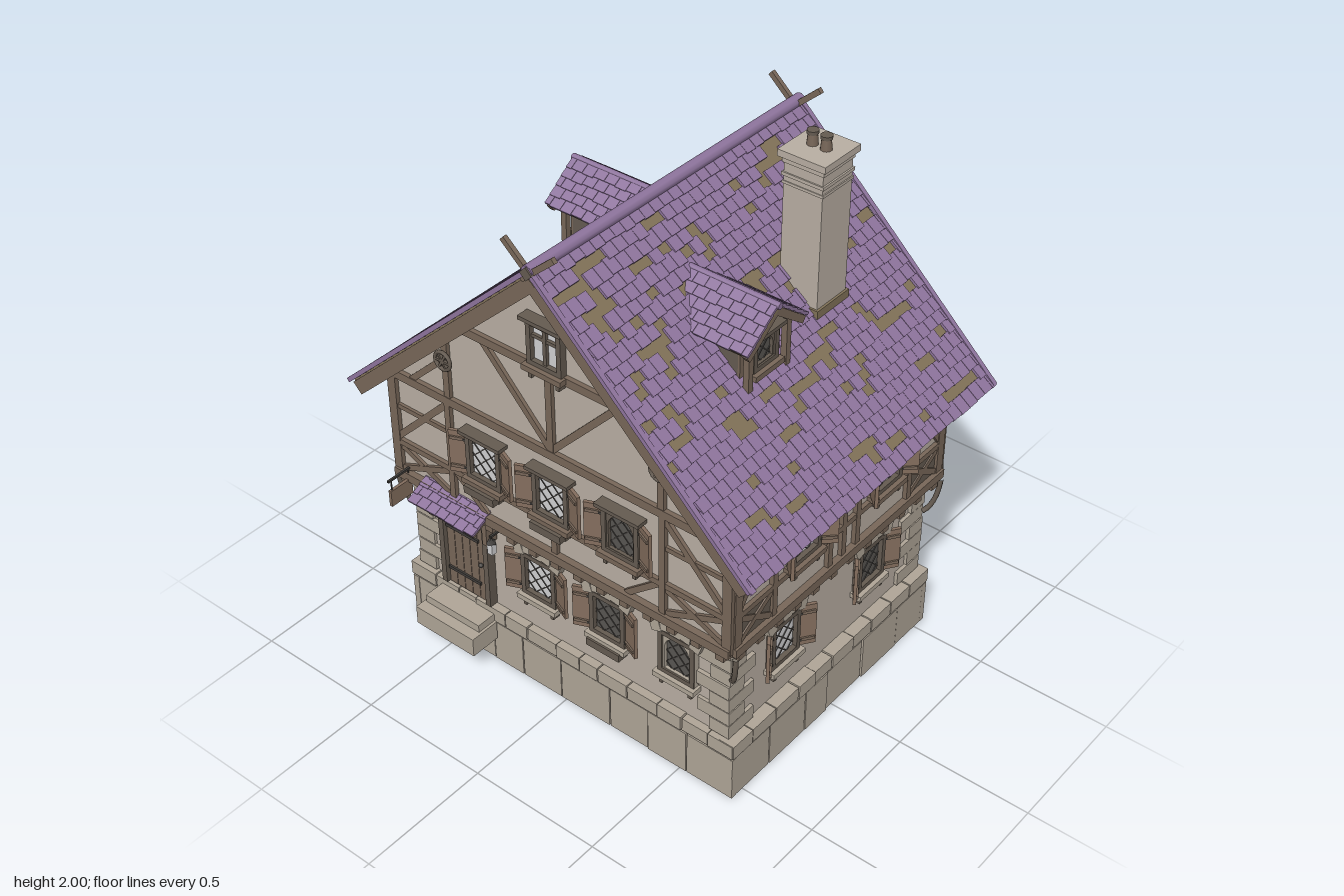
import * as THREE from 'three';
import { mergeGeometries } from 'three/addons/utils/BufferGeometryUtils.js';

const mat = (name, color) => Object.assign(new THREE.MeshStandardMaterial({ color }), { name });
const plaster = mat('plaster', 0xb9afa3), stone = mat('stone', 0xb0a698), timber = mat('timber', 0x786759);
const wood = mat('shutterWood', 0x846e5e), frame = mat('darkFrame', 0x655b51), iron = mat('iron', 0x403d3a);
const paleGlass = mat('paleGlass', 0xd2d2d3), darkGlass = mat('darkGlass', 0x595652);
const tile = mat('purpleTile', 0x8f759e), underlay = mat('roofUnderlay', 0x827359);

let seed = 7;
const rand = () => ((seed = (seed * 16807) % 2147483647) / 2147483647);

function add(parent, name, geo, m, x = 0, y = 0, z = 0) {
  const mesh = new THREE.Mesh(geo, m);
  mesh.name = name;
  mesh.position.set(x, y, z);
  parent.add(mesh);
  return mesh;
}
function box(parent, name, m, w, h, d, x, y, z, rz = 0) {
  const b = add(parent, name, new THREE.BoxGeometry(w, h, d), m, x, y, z);
  b.rotation.z = rz;
  return b;
}
// Straight beam between two points on a wall plane
function beam(p, x1, y1, x2, y2, z, w = 0.03, d = 0.03, m = timber, name = 'beam') {
  return box(p, name, m, Math.hypot(x2 - x1, y2 - y1), w, d, (x1 + x2) / 2, (y1 + y2) / 2, z, Math.atan2(y2 - y1, x2 - x1));
}
function cross(p, x1, y1, x2, y2, z) {
  beam(p, x1, y1, x2, y2, z, 0.022, 0.02);
  beam(p, x1, y2, x2, y1, z, 0.022, 0.018);
}
function group(parent, name, x = 0, y = 0, z = 0, ry = 0) {
  const g = new THREE.Group();
  g.name = name;
  g.position.set(x, y, z);
  g.rotation.y = ry;
  parent.add(g);
  return g;
}

// Window facing +z, centred on its pane; "open" is the angle of the shutters off the wall
function windowUnit(p, x, y, z, { w = 0.15, h = 0.18, pale = true, open = 0, arch = false, lintel = false, casement = false } = {}) {
  const g = group(p, 'window', x, y, z);
  box(g, 'pane', pale ? paleGlass : darkGlass, w - 0.02, h - 0.02, 0.008, 0, 0, 0.004);
  const W = w / 2 - 0.012, H = h / 2 - 0.012;
  if (casement) {
    box(g, 'mullion', frame, 0.014, h, 0.02, 0, 0, 0.01);
    box(g, 'transom', frame, w, 0.012, 0.018, 0, 0.025, 0.01);
  } else for (let c = -0.15; c <= 0.151; c += 0.05) {
    const a = Math.max(-W, -H - c), b = Math.min(W, H - c);
    if (b - a > 0.008) for (const s of [1, -1]) beam(g, s * a, a + c, s * b, b + c, 0.009, 0.004, 0.003, iron, 'leading');
  }
  for (const s of [-1, 1]) {
    box(g, 'frameSide', frame, 0.018, h, 0.026, s * (w / 2 - 0.009), 0, 0.013);
    box(g, 'frameRail', frame, w, 0.018, 0.026, 0, s * (h / 2 - 0.009), 0.013);
  }
  if (arch) {
    const s = new THREE.Shape([[-w / 2, -h / 2], [w / 2, -h / 2], [w / 2, h / 2], [-w / 2, h / 2]].map(q => new THREE.Vector2(...q)));
    const r = w / 2 - 0.025, hole = new THREE.Path();
    hole.moveTo(-r, -h / 2 + 0.02).lineTo(-r, h / 2 - 0.02 - r).absarc(0, h / 2 - 0.02 - r, r, Math.PI, 0, true).lineTo(r, -h / 2 + 0.02);
    s.holes.push(hole);
    add(g, 'archedFrame', new THREE.ExtrudeGeometry(s, { depth: 0.02, bevelEnabled: false }), lintel ? stone : frame);
  }
  if (open) for (const s of [-1, 1]) {
    const leaf = group(g, 'shutterLeaf', s * (w / 2 + 0.001), 0, 0.012, -s * open);
    box(leaf, 'shutter', wood, 0.064, h - 0.01, 0.012, s * 0.032, 0, 0);
    for (const k of [-1, 1]) {
      box(leaf, 'shutterBatten', timber, 0.054, 0.012, 0.008, s * 0.032, k * h * 0.32, 0.008);
      box(leaf, 'hinge', iron, 0.014, 0.008, 0.008, s * 0.005, k * h * 0.32, 0.01);
    }
  }
  if (lintel) {
    for (let i = -2; i <= 2; i++)
      box(g, 'lintelStone', stone, 0.041, i ? 0.045 : 0.06, 0.04, i * 0.041, h / 2 + 0.036 - i * i * 0.006, 0.01, -i * 0.16);
  } else box(g, 'windowHead', frame, w + 0.03, 0.014, 0.045, 0, h / 2 + 0.006, 0.02);
  box(g, 'sill', lintel ? stone : timber, w + 0.02, 0.02, 0.045, 0, -h / 2 - 0.008, 0.02);
  for (const s of [-1, 1]) box(g, 'sillBracket', frame, 0.014, 0.03, 0.03, s * w * 0.4, -h / 2 - 0.032, 0.014);
}

// Overlapping tiles: local x runs down the slope, y is the slope normal
function tiles(parent, name, len, width, rows, cols, missing) {
  const parts = [], gone = {};
  const step = len / rows, cw = width / cols;
  for (let r = 0; r < rows; r++) for (let c = 0; c <= cols; c++) {
    const off = r % 2 ? 0 : 0.5;
    const z0 = Math.max(-width / 2, -width / 2 + (c - off) * cw), z1 = Math.min(width / 2, -width / 2 + (c + 1 - off) * cw);
    if (z1 - z0 < 0.005) continue;
    const chance = gone[`${r - 1},${c}`] || gone[`${r},${c - 1}`] ? missing * 1.9 : missing;
    if (r > 0 && r < rows - 1 && rand() < chance) { gone[`${r},${c}`] = true; continue; }
    const g = new THREE.BoxGeometry(step * 1.25, 0.01, z1 - z0 - 0.0015);
    g.rotateZ(0.1 + rand() * 0.02);
    g.translate((r + 0.45) * step + (rand() - 0.5) * 0.006, 0.011, (z0 + z1) / 2);
    parts.push(g);
  }
  return add(parent, name, mergeGeometries(parts), tile);
}

function buildMasonry(house) {
  const g = group(house, 'stoneGroundFloor');
  box(g, 'groundFloorWall', plaster, 1.35, 0.48, 1.06, 0, 0.43, 0);
  box(g, 'floorUnderside', iron, 1.4, 0.008, 1.08, 0, 0.176, 0);
  // Thin facing blocks around an open base, with a course of cap stones
  for (let k = 0; k < 4; k++) {
    const side = k % 2, half = side ? 0.56 : 0.72, out = side ? 0.72 : 0.56;
    const w = group(g, 'plinthSide', 0, 0, 0, k * Math.PI / 2);
    const course = (name, n, y, h, d, proud) => {
      const cuts = Array.from({ length: n + 1 }, (_, i) => -half + 2 * half * (i + (i > 0 && i < n ? (rand() - 0.5) * 0.4 : 0)) / n);
      for (let i = 0; i < n; i++) {
        const j = rand() * 0.006;
        box(w, name, stone, cuts[i + 1] - cuts[i] - 0.004, h - j, d, (cuts[i] + cuts[i + 1]) / 2, y - j / 2, out - d / 2 + proud - j);
      }
    };
    course('plinthBlock', side ? 6 : 8, 0.0875, 0.175, 0.025, 0);
    course('plinthCapStone', side ? 10 : 13, 0.21, 0.058, 0.06, 0.004);
  }
  // Corner quoins, alternately long on each face
  for (const sx of [-1, 1]) for (const sz of [-1, 1]) for (let i = 0; i < 7; i++) {
    const a = i % 2 ? 0.13 : 0.08, b = i % 2 ? 0.08 : 0.13;
    box(g, 'quoin', stone, a, 0.054, b, sx * (0.692 - a / 2 - rand() * 0.006), 0.268 + i * 0.058, sz * (0.545 - b / 2 - rand() * 0.006));
  }
}

function buildUpperFloor(house) {
  const s = new THREE.Shape([[-0.712, 0.65], [0.712, 0.65], [0.712, 1.085], [0, 1.75], [-0.712, 1.085]].map(q => new THREE.Vector2(...q)));
  add(house, 'upperWall', new THREE.ExtrudeGeometry(s, { depth: 1.144, bevelEnabled: false }), plaster, 0, 0, -0.572);
  for (let k = 0; k < 4; k++) {
    const side = k % 2, back = k === 2, half = side ? 0.575 : 0.72, z = side ? 0.714 : 0.574, low = side ? 0.675 : 0.53;
    const w = group(house, ['frontWall', 'rightWall', 'backWall', 'leftWall'][k], 0, 0, 0, k * Math.PI / 2);
    for (const [y, h, d] of [[0.665, 0.034, 0.045], [0.8, 0.022, 0.026], [1.085, 0.032, 0.03]]) beam(w, -half, y, half, y, z, h, d);
    for (let i = 0, n = side ? 12 : 15; i < n; i++)
      box(w, 'joistEnd', timber, 0.034, 0.034, 0.12, -half + 0.04 + i * (2 * half - 0.08) / (n - 1), 0.635, z - 0.045);
    const posts = side ? [0.555, 0.37, 0.075] : back ? [0.705, 0.45, 0.15] : [0.705, 0.45];
    for (const m of [-1, 1]) {
      posts.forEach((x, i) => beam(w, m * x, 0.66, m * x, 1.085, z, i ? 0.024 : 0.036, 0.028));
      beam(w, m * posts[1], 1.07, m * posts[0], 0.81, z, 0.024, 0.022);
      cross(w, m * posts[0], 0.68, m * posts[1], 0.79, z);
      if (side) box(w, 'infillPanel', frame, 0.17, 0.12, 0.008, m * 0.4625, 0.735, z);
      else {
        beam(w, m * 0.46, 0.95, m * 0.7, 0.95, z, 0.018, 0.018);
        beam(w, m * 0.43, 0.79, m * 0.3, 0.68, z, 0.022, 0.02);
      }
    }
    beam(w, 0, 0.66, 0, side || back ? 1.085 : 0.8, z, 0.024, 0.026);
    if (side) {
      for (const x of [-0.225, 0.225]) windowUnit(w, x, 0.915, z, { open: 0.8 });
      windowUnit(w, -0.26, 0.48, low, { open: 0.6, lintel: true });
      windowUnit(w, 0.22, 0.48, low, { open: 0.6, lintel: true, pale: false });
      // Curved braces reaching diagonally out under the corners
      for (const m of [-1, 1]) {
        const c = new THREE.QuadraticBezierCurve3(new THREE.Vector3(m * 0.535, 0.5, 0.69), new THREE.Vector3(m * 0.565, 0.53, 0.725), new THREE.Vector3(m * 0.57, 0.64, 0.73));
        add(w, 'curvedBrace', new THREE.TubeGeometry(c, 8, 0.01, 6), frame);
      }
      continue;
    }
    // Gable framing
    beam(w, -0.38, 1.405, 0.38, 1.405, z, 0.03, 0.03);
    beam(w, 0, 1.085, 0, 1.405, z, 0.026, 0.026);
    for (const m of [-1, 1]) {
      beam(w, 0, 1.1, m * 0.28, 1.4, z, 0.024, 0.022);
      beam(w, m * 0.445, 1.085, m * 0.445, 1.33, z, 0.026, 0.026);
      beam(w, m * 0.46, 1.24, m * 0.61, 1.095, z, 0.022, 0.022);
      beam(w, 0, 1.735, m * 0.72, 1.065, z, 0.022, 0.028);
      if (!back) {
        const r = group(w, 'rosette', m * 0.445, 1.25, z + 0.02);
        add(r, 'rosetteRing', new THREE.TorusGeometry(0.033, 0.007, 6, 16), frame);
        for (let i = 0; i < 3; i++) box(r, 'rosetteSpoke', frame, 0.066, 0.008, 0.01, 0, 0, 0, i * Math.PI / 3);
      }
    }
    windowUnit(w, 0, 1.5, z, { w: 0.14, h: 0.165, casement: true });
    if (back) {
      for (const x of [-0.3, 0.3]) windowUnit(w, x, 0.915, z, { open: 0.8, pale: false });
      for (const x of [-0.3, 0.3]) windowUnit(w, x, 0.48, low, { h: 0.19, pale: x < 0 });
    } else {
      for (const x of [-0.29, 0, 0.29]) windowUnit(w, x, 0.915, z, { open: 0.4, pale: x < 0.2, arch: x > 0.2 });
      for (const x of [-0.29, 0]) box(w, 'flowerBox', frame, 0.13, 0.03, 0.04, x, 0.795, z + 0.035);
      windowUnit(w, -0.11, 0.48, low, { open: 0.4, lintel: true });
      windowUnit(w, 0.19, 0.48, low, { open: 0.4, lintel: true, pale: false });
      windowUnit(w, 0.48, 0.48, low, { lintel: true, pale: false, arch: true });
      box(w, 'flowerBox', frame, 0.14, 0.03, 0.04, 0.19, 0.362, low + 0.03);
      buildEntrance(w);
    }
  }
}

function buildEntrance(p) {
  const g = group(p, 'entrance', -0.445, 0, 0.53);
  for (let i = 0; i < 5; i++) box(g, 'doorPlank', timber, 0.034, 0.33, 0.02, (i - 2) * 0.036, 0.405, 0.01);
  for (const s of [-1, 1]) {
    box(g, 'doorPost', frame, 0.022, 0.36, 0.04, s * 0.103, 0.42, 0.015);
    beam(g, s * 0.125, 0.54, s * 0.125, 0.63, 0.03, 0.02, 0.05, timber, 'canopyBracket');
  }
  box(g, 'doorHead', frame, 0.23, 0.026, 0.045, 0, 0.59, 0.015);
  for (const y of [0.31, 0.5]) box(g, 'doorStrap', iron, 0.15, 0.012, 0.008, -0.012, y, 0.023);
  add(g, 'doorKnob', new THREE.SphereGeometry(0.009, 8, 6), iron, 0.07, 0.4, 0.026);
  box(g, 'upperStep', stone, 0.25, 0.035, 0.1, 0, 0.195, 0.06);
  box(g, 'lowerStep', stone, 0.27, 0.075, 0.12, 0.0, 0.145, 0.092);
  // Tiled canopy sloping to the front
  const c = group(g, 'canopy', 0, 0.695, 0.005, -Math.PI / 2);
  const slope = group(c, 'canopySlope');
  slope.rotation.z = -0.5;
  box(slope, 'canopyBoard', timber, 0.135, 0.014, 0.29, 0.068, 0, 0);
  tiles(slope, 'canopyTiles', 0.135, 0.3, 4, 7, 0);
  // Lantern and hanging board
  box(g, 'lanternArm', iron, 0.008, 0.008, 0.05, 0.148, 0.585, 0.025);
  box(g, 'lanternBody', paleGlass, 0.022, 0.045, 0.022, 0.148, 0.535, 0.045);
  add(g, 'lanternCap', new THREE.ConeGeometry(0.02, 0.02, 4), iron, 0.148, 0.568, 0.045);
  box(g, 'signArm', iron, 0.008, 0.008, 0.14, -0.215, 0.7, 0.085);
  box(g, 'signBoard', wood, 0.012, 0.065, 0.1, -0.215, 0.625, 0.1);
  for (const z of [0.06, 0.14]) box(g, 'signHanger', iron, 0.004, 0.05, 0.004, -0.215, 0.675, z);
}

function buildDormer(p, z) {
  const g = group(p, 'dormer', 0, 0, z);
  const gable = new THREE.Shape([[-0.1, 1.3], [0.1, 1.3], [0.1, 1.53], [0, 1.61], [-0.1, 1.53]].map(q => new THREE.Vector2(...q)));
  const body = add(g, 'dormerBody', new THREE.ExtrudeGeometry(gable, { depth: 0.27, bevelEnabled: false }), frame, 0.18);
  body.rotation.y = Math.PI / 2;
  const face = group(g, 'dormerFace', 0.45, 0, 0, Math.PI / 2);
  add(face, 'dormerGable', new THREE.ExtrudeGeometry(gable, { depth: 0.008, bevelEnabled: false }), timber);
  windowUnit(face, 0, 1.455, 0.008, { w: 0.125, h: 0.125, pale: false, arch: true });
  for (const s of [-1, 1]) {
    // Free-standing posts carry the roof in front of the window
    beam(face, s * 0.095, 1.34, s * 0.095, 1.53, 0.036, 0.022, 0.022, timber, 'dormerPost');
    beam(face, 0, 1.61, s * 0.14, 1.505, 0.06, 0.026, 0.02);
    // Each roof half runs back until the main slope hides it
    const half = group(g, 'dormerRoofHalf', 0.34, 1.625, 0, -s * Math.PI / 2);
    const slope = group(half, 'dormerSlope');
    slope.rotation.z = -0.66;
    box(slope, 'dormerDeck', underlay, 0.18, 0.014, 0.36, 0.09, -0.004, 0);
    tiles(slope, 'dormerTiles', 0.18, 0.37, 5, 8, 0.03);
  }
  const cap = add(g, 'dormerRidge', new THREE.CylinderGeometry(0.012, 0.012, 0.36, 8), tile, 0.35, 1.632, 0);
  cap.rotation.z = Math.PI / 2;
}

function buildRoof(house) {
  const angle = Math.atan2(0.78, 0.835), len = 1.134;
  for (const s of [1, -1]) {
    const g = group(house, s > 0 ? 'rightRoof' : 'leftRoof', 0, 0, -0.012, s > 0 ? 0 : Math.PI);
    const slope = group(g, 'mainSlope', 0, 1.793, 0);
    slope.rotation.z = -angle;
    box(slope, 'roofBoards', timber, len - 0.01, 0.026, 1.3, len / 2, -0.018, 0);
    box(slope, 'roofUnderlay', underlay, len - 0.01, 0.008, 1.3, len / 2, 0, 0);
    tiles(slope, 'roofTiles', len, 1.33, 25, 29, s > 0 ? 0.16 : 0.016);
    for (let i = 0; i < 12; i++) box(slope, 'rafterTail', timber, 0.16, 0.026, 0.03, len - 0.11, -0.042, -0.55 + i * 0.1);
    for (const e of [-1, 1]) {
      box(slope, 'bargeBoard', timber, len - 0.005, 0.05, 0.025, len / 2, -0.027, e * 0.645);
      box(slope, 'vergeTrim', tile, len, 0.016, 0.018, len / 2, 0.012, e * 0.661);
      beam(g, -0.03, 1.765, 0.1, 1.88, e * 0.648 + s * 0.006, 0.02, 0.016, timber, 'crossedFinial');
    }
    buildDormer(g, 0.135);
  }
  const ridge = add(house, 'ridgeCap', new THREE.CylinderGeometry(0.022, 0.022, 1.335, 10), tile, 0, 1.805, -0.012);
  ridge.rotation.x = Math.PI / 2;
  for (const e of [-1, 1]) box(house, 'ridgeBeamEnd', frame, 0.034, 0.034, 0.02, 0, 1.8, e * 0.663 - 0.012, Math.PI / 4);
}

function buildChimney(house) {
  const g = group(house, 'chimney', 0.375, 0, -0.262);
  box(g, 'chimneyShaft', plaster, 0.148, 0.6, 0.155, 0, 1.62, 0);
  box(g, 'chimneySkirt', underlay, 0.165, 0.03, 0.17, 0, 1.405, 0);
  for (const [y, w, h] of [[1.835, 0.156, 0.01], [1.865, 0.16, 0.012], [1.915, 0.158, 0.02], [1.938, 0.18, 0.024]])
    box(g, 'chimneyBand', plaster, w, h, w + 0.005, 0, y, 0);
  for (const s of [-1, 1]) {
    add(g, 'chimneyPot', new THREE.CylinderGeometry(0.016, 0.02, 0.05, 10), timber, s * 0.026, 1.97, 0);
    add(g, 'potRim', new THREE.CylinderGeometry(0.02, 0.02, 0.012, 10), frame, s * 0.026, 1.994, 0);
  }
}

export function createModel() {
  const house = new THREE.Group();
  house.name = 'timberHouse';
  buildMasonry(house);
  buildUpperFloor(house);
  buildRoof(house);
  buildChimney(house);
  return house;
}
